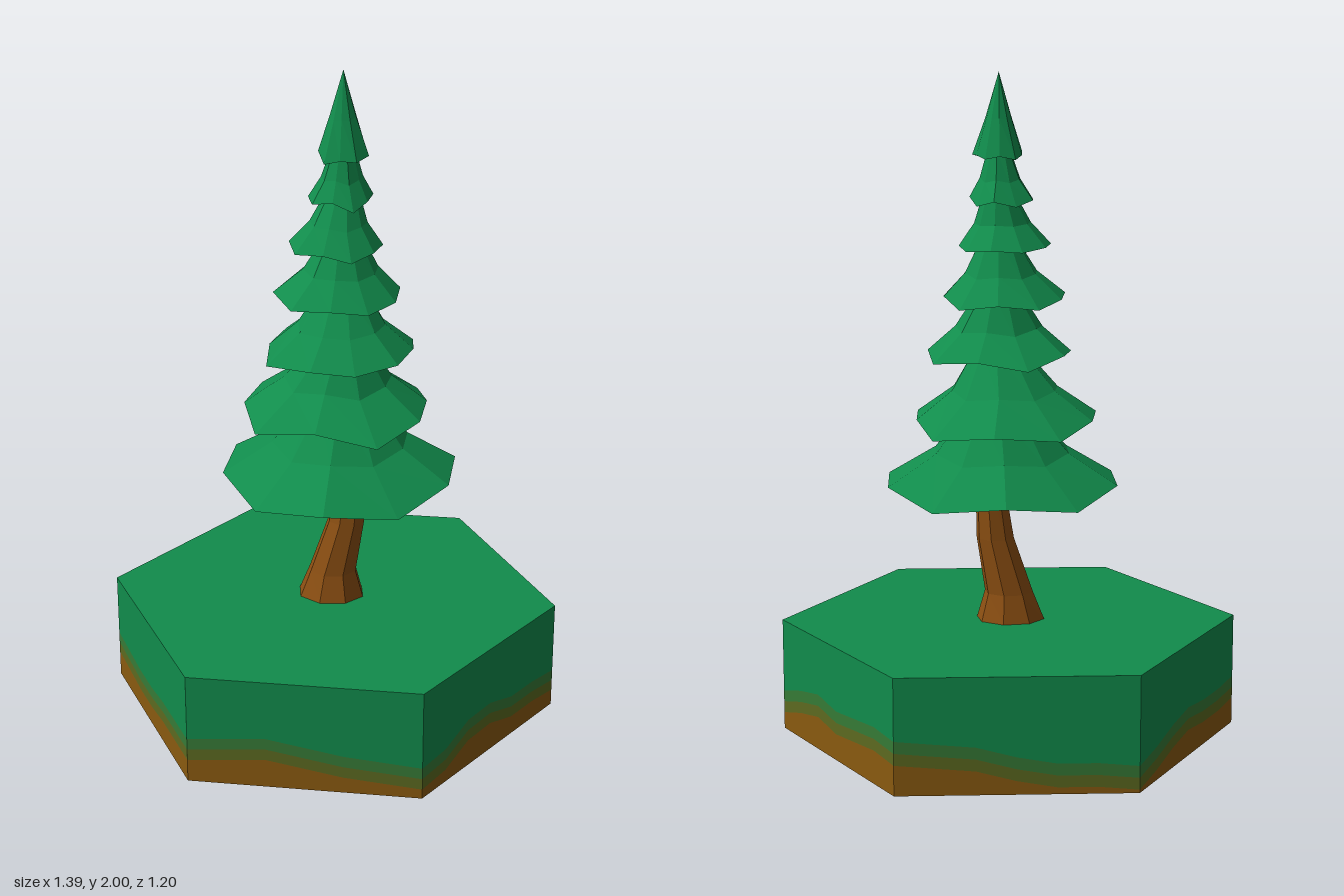
import * as THREE from 'three';

const paint = (name, color) => {
  const m = new THREE.MeshStandardMaterial({ color });
  m.name = name;
  return m;
};

// Faceted skin over closed loops of points, listed from the bottom up
function skin(rows) {
  const pos = [];
  const n = rows[0].length;
  for (let r = 0; r < rows.length - 1; r++) {
    for (let i = 0; i < n; i++) {
      const j = (i + 1) % n;
      const a = rows[r][i], b = rows[r][j], c = rows[r + 1][j], d = rows[r + 1][i];
      pos.push(...a, ...c, ...b, ...a, ...d, ...c);
    }
  }
  const g = new THREE.BufferGeometry();
  g.setAttribute('position', new THREE.Float32BufferAttribute(pos, 3));
  g.computeVertexNormals();
  return g;
}

function seeded(seed) {
  return () => {
    seed = (seed * 16807) % 2147483647;
    return seed / 2147483647;
  };
}

export function createModel() {
  const model = new THREE.Group();
  const green = paint('green', 0x118c4c);
  const soil = paint('soil brown', 0x8a5a10);
  const olive = paint('olive', 0x5c6a20);
  const moss = paint('moss green', 0x367a36);
  const bark = paint('bark brown', 0x8c4f12);

  const add = (name, geometry, material, parent = model) => {
    const mesh = new THREE.Mesh(geometry, material);
    mesh.name = name;
    parent.add(mesh);
    return mesh;
  };

  // Hexagonal ground block
  const R = 0.693, TOP = 0.345;
  const base = new THREE.Group();
  base.name = 'groundBlock';
  model.add(base);
  add('groundTop', new THREE.CircleGeometry(R, 6).rotateX(-Math.PI / 2).translate(0, TOP, 0), green, base);
  add('groundBottom', new THREE.CircleGeometry(R, 6).rotateX(Math.PI / 2), soil, base);

  // Wavy soil line, six heights along each of the six sides
  const wave = [
    0.12, 0.13, 0.13, 0.16, 0.155, 0.11,
    0.10, 0.11, 0.12, 0.14, 0.16, 0.15,
    0.14, 0.14, 0.14, 0.13, 0.13, 0.14,
    0.15, 0.14, 0.14, 0.15, 0.13, 0.10,
    0.08, 0.09, 0.09, 0.11, 0.14, 0.15,
    0.16, 0.17, 0.16, 0.15, 0.17, 0.15,
  ];
  const edgeLoop = (heightAt) => wave.map((h, i) => {
    const k = Math.floor(i / 6), t = (i % 6) / 6;
    const a = k * Math.PI / 3, b = a + Math.PI / 3;
    return [
      R * (Math.cos(a) * (1 - t) + Math.cos(b) * t),
      heightAt(h),
      R * (Math.sin(a) * (1 - t) + Math.sin(b) * t),
    ];
  });
  const levels = [() => 0, (h) => h - 0.07, (h) => h - 0.035, (h) => h, () => TOP].map(edgeLoop);
  [['soilBand', soil], ['oliveBand', olive], ['mossBand', moss], ['grassBand', green]]
    .forEach(([name, mat], i) => add(name, skin([levels[i], levels[i + 1]]), mat, base));

  // Leaning trunk with a flared foot: y, centre x, half width x, half width z
  const trunk = [
    [TOP, -0.005, 0.105, 0.088],
    [0.43, 0, 0.075, 0.07],
    [0.6, 0.042, 0.058, 0.056],
    [0.8, 0.06, 0.042, 0.044],
  ].map(([y, cx, rx, rz]) => Array.from({ length: 8 }, (_, i) => {
    const a = (i + 0.3) * Math.PI / 4;
    return [cx + rx * Math.cos(a), y, rz * Math.sin(a)];
  }));
  add('trunk', skin(trunk), bark);

  // Foliage skirts: rim y, top y, rim radius, top radius, centre x, centre z, jag, turn
  const tiers = [
    [0.765, 1.0, 0.36, 0.1, 0.022, 0, 0, 0],
    [0.97, 1.18, 0.295, 0.075, 0.015, -0.02, 0.14, 0.2],
    [1.165, 1.35, 0.235, 0.065, 0.03, 0.02, 0.14, 0.5],
    [1.33, 1.51, 0.19, 0.055, 0.028, 0, 0.14, 0.1],
    [1.485, 1.65, 0.142, 0.045, 0.022, 0.015, 0.16, 0.4],
    [1.625, 1.77, 0.1, 0.035, 0.028, 0, 0.16, 0.3],
    [1.755, 2.0, 0.076, 0, 0.03, 0, 0.12, 0],
  ];
  const dip = [0, -0.025, 0.015, 0.015, -0.025];
  const foliage = new THREE.Group();
  foliage.name = 'foliage';
  model.add(foliage);
  tiers.forEach(([y, yTop, r, rTop, cx, cz, jag, turn], t) => {
    const rand = seeded(917 + t * 131);
    const last = rTop === 0;
    const size = Math.max(0.5, r / 0.36);
    const rim = Array.from({ length: 10 }, (_, i) => ({
      a: Math.PI / 2 + (i + turn) * Math.PI / 5,
      k: 1 + jag * (rand() - 0.5) * 1.4,
      d: dip[i % 5] * size + jag * 0.1 * (rand() - 0.5),
    }));
    // One loop; sway sets how much of the rim's unevenness it follows
    const loop = (radius, height, sway, x = cx, z = cz) => rim.map(({ a, k, d }) => {
      const rr = radius * (1 + (k - 1) * sway);
      return [x + rr * Math.cos(a), height + d * sway, z + rr * Math.sin(a)];
    });
    const h = yTop - y;
    const midR = last ? r * 0.52 : rTop + (r - rTop) * 0.42;
    add('foliageTier' + (t + 1), skin([
      loop(0.01, y + h * 0.12, 0),
      loop(r * 0.8, y + 0.012 * size, 0.6),
      loop(r, y, 1),
      loop(midR, y + h * (last ? 0.45 : 0.42), 0.5),
      loop(rTop, yTop, 0, 0.03, 0),
      loop(0, yTop, 0, 0.03, 0),
    ]), green, foliage);
  });

  return model;
}
